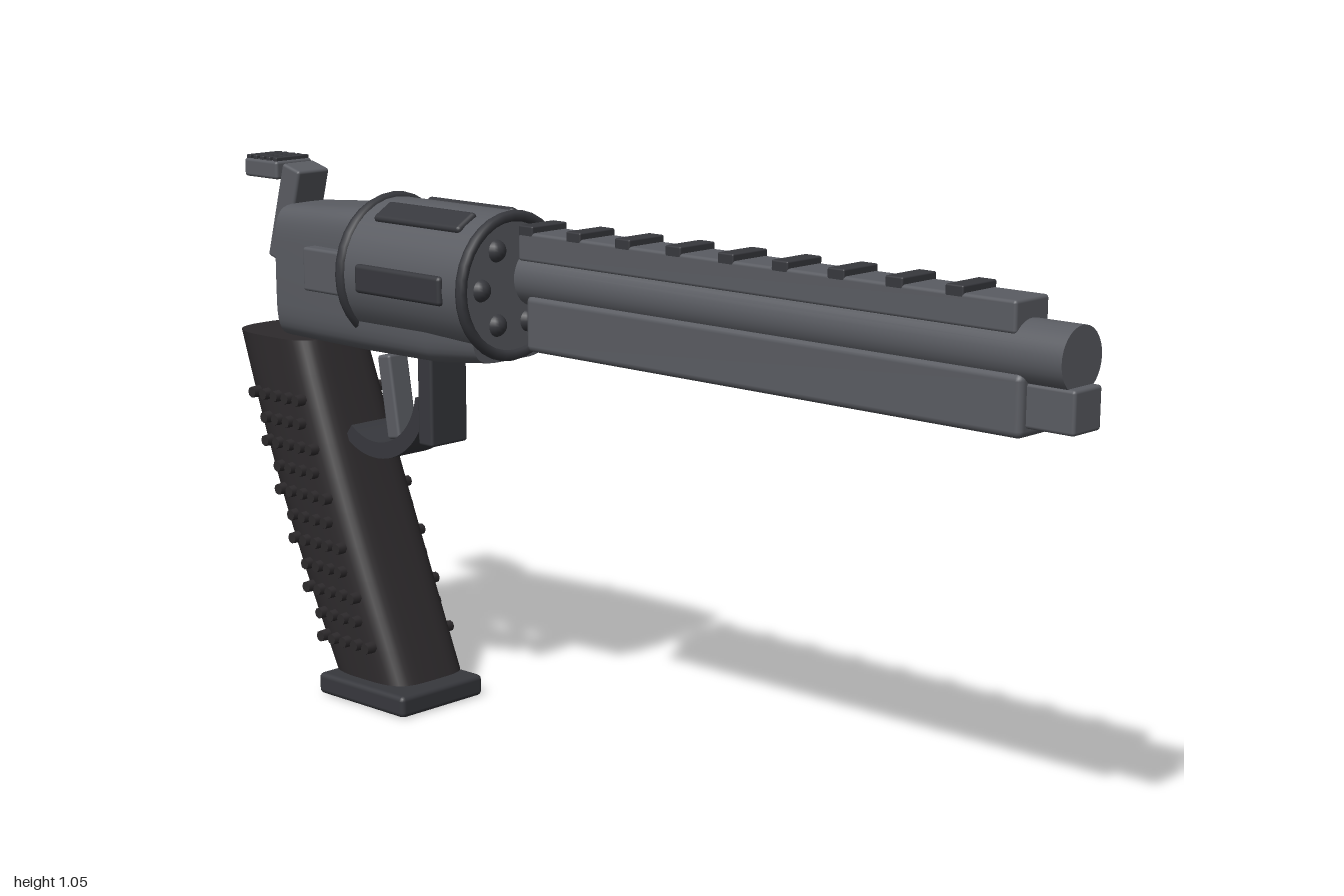
import * as THREE from 'three';
import { RoundedBoxGeometry } from 'three/addons/geometries/RoundedBoxGeometry.js';

const steel = new THREE.MeshStandardMaterial({ color: 0x5a5c62 });
const dark = new THREE.MeshStandardMaterial({ color: 0x37383d });
const rubber = new THREE.MeshStandardMaterial({ color: 0x2d2a2c });

// Closed skin through a list of equal-length rings, with flat end caps
function loft(rings) {
  const n = rings[0].length;
  const pos = [];
  const idx = [];
  rings.flat().forEach((p) => pos.push(p.x, p.y, p.z));
  for (let i = 0; i < rings.length - 1; i++) {
    for (let j = 0; j < n; j++) {
      const a = i * n + j, b = i * n + (j + 1) % n;
      idx.push(a, b, b + n, a, b + n, a + n);
    }
  }
  [rings[0], rings[rings.length - 1]].forEach((ring, end) => {
    const base = pos.length / 3;
    ring.forEach((p) => pos.push(p.x, p.y, p.z));
    for (let j = 1; j < n - 1; j++) {
      if (end) idx.push(base, base + j, base + j + 1);
      else idx.push(base, base + j + 1, base + j);
    }
  });
  const g = new THREE.BufferGeometry();
  g.setAttribute('position', new THREE.Float32BufferAttribute(pos, 3));
  g.setIndex(idx);
  g.computeVertexNormals();
  return g;
}

// Point on a superellipse; higher power is squarer
function superPoint(t, power) {
  const f = (v) => Math.sign(v) * Math.pow(Math.abs(v), 2 / power);
  return [f(Math.cos(t)), f(Math.sin(t))];
}

export function createModel() {
  const model = new THREE.Group();
  const SEG = 40;

  function add(name, geometry, material, x = 0, y = 0, z = 0) {
    const mesh = new THREE.Mesh(geometry, material);
    mesh.name = name;
    mesh.position.set(x, y, z);
    model.add(mesh);
    return mesh;
  }
  // Bevelled box given by its width and its y and z extents
  function block(name, w, y0, y1, z0, z1, material, r = 0.006) {
    return add(name, new RoundedBoxGeometry(w, y1 - y0, z1 - z0, 2, r), material, 0, (y0 + y1) / 2, (z0 + z1) / 2);
  }
  const alongZ = (r, len, seg) => new THREE.CylinderGeometry(r, r, len, seg).rotateX(Math.PI / 2);

  // Barrel, underlug and top rail
  add('barrel', alongZ(0.055, 1.195, 32), steel, 0, 0.887, 0.387);
  block('underlug', 0.106, 0.756, 0.86, -0.185, 0.91, steel, 0.012);
  block('rodTip', 0.075, 0.772, 0.845, 0.88, 1.0, steel);
  block('rail', 0.09, 0.92, 0.974, -0.21, 0.89, steel);
  for (let i = 0; i < 9; i++) {
    const z = -0.19 + i * 0.12;
    block('railTooth', 0.09, 0.965, 0.986, z - 0.018, z + 0.018, dark, 0.003);
  }

  // Drum with rims, raised ribs and chambers
  const drumY = 0.862;
  add('drum', alongZ(0.138, 0.33, 32), steel, 0, drumY, -0.435);
  add('frontRim', new THREE.TorusGeometry(0.13, 0.011, 8, 32), dark, 0, drumY, -0.272);
  add('rearRim', new THREE.TorusGeometry(0.135, 0.012, 8, 32), dark, 0, drumY, -0.595);
  for (let i = 0; i < 6; i++) {
    const a = (i * Math.PI) / 3;
    const c = Math.cos(a), s = Math.sin(a);
    const rib = add('drumRib', new RoundedBoxGeometry(0.03, 0.055, 0.235, 2, 0.008), dark,
      0.13 * c, drumY + 0.13 * s, -0.432);
    rib.rotation.z = a;
    add('chamber', new THREE.SphereGeometry(0.022, 16, 12), dark, 0.08 * c, drumY + 0.08 * s, -0.276);
  }

  // Frame: rounded sections running back to front
  const frameSections = [ // z, bottom, top, half width
    [-0.845, 0.705, 0.967, 0.088], [-0.72, 0.705, 0.976, 0.098], [-0.6, 0.705, 0.984, 0.104],
    [-0.4, 0.708, 0.965, 0.105], [-0.275, 0.722, 0.945, 0.1],
  ];
  add('frame', loft(frameSections.map(([z, lo, hi, w]) =>
    Array.from({ length: SEG }, (_, j) => {
      const [u, v] = superPoint((j / SEG) * Math.PI * 2, 5);
      return new THREE.Vector3(u * w, (lo + hi) / 2 + (v * (hi - lo)) / 2, z);
    }))), steel);
  add('releaseLatch', new RoundedBoxGeometry(0.05, 0.085, 0.12, 2, 0.006), steel, -0.1, 0.86, -0.66);

  // Hammer with a serrated spur
  const hammer = add('hammer', new RoundedBoxGeometry(0.08, 0.195, 0.052, 2, 0.006), steel, 0, 0.943, -0.876);
  hammer.rotation.x = 0.27;
  block('hammerSpur', 0.092, 1.01, 1.046, -0.985, -0.885, steel);
  for (let i = 0; i < 5; i++) {
    const z = -0.976 + i * 0.02;
    block('spurRidge', 0.084, 1.04, 1.053, z - 0.006, z + 0.006, dark, 0.002);
  }

  // Trigger and guard
  const trigger = add('trigger', new RoundedBoxGeometry(0.05, 0.165, 0.036, 2, 0.006), steel, 0, 0.61, -0.593);
  trigger.rotation.x = -0.16;
  block('guardPost', 0.094, 0.535, 0.715, -0.485, -0.445, dark);
  const strip = new THREE.Shape();
  strip.absellipse(-0.61, 0.645, 0.15, 0.155, -0.15, -2.2, true);
  strip.absellipse(-0.61, 0.645, 0.118, 0.123, -2.2, -0.15, false);
  strip.closePath();
  const guard = new THREE.ExtrudeGeometry(strip, { depth: 0.09, bevelEnabled: false, curveSegments: 16 });
  guard.translate(0, 0, -0.045).rotateY(-Math.PI / 2);
  add('triggerGuard', guard, dark);

  // Grip: raked sections from bottom to top, rounder at the back
  const GRIP_LO = 0.053, GRIP_HI = 0.706;
  const gripAt = (y) => {
    const t = (y - GRIP_LO) / (GRIP_HI - GRIP_LO);
    const bow = Math.sin(t * Math.PI);
    return { front: -0.495 - 0.265 * t - 0.006 * bow, back: -0.727 - 0.27 * t - 0.014 * bow, w: 0.098 + 0.004 * bow };
  };
  const gripRings = Array.from({ length: 11 }, (_, i) => {
    const y = GRIP_LO + ((GRIP_HI - GRIP_LO) * i) / 10;
    const { front, back, w } = gripAt(y);
    return Array.from({ length: SEG }, (_, j) => {
      const t = (j / SEG) * Math.PI * 2;
      const [u, v] = superPoint(t, Math.cos(t) < 0 ? 2.8 : 4);
      return new THREE.Vector3(v * w, y, (front + back) / 2 + (u * (front - back)) / 2);
    });
  });
  add('grip', loft(gripRings), rubber);
  block('gripBase', 0.216, 0, 0.043, -0.725, -0.475, dark, 0.01);

  // Staggered studs on both grip sides
  const stud = new THREE.CylinderGeometry(0.011, 0.014, 0.05, 8).rotateZ(-Math.PI / 2);
  for (let row = 0; row < 11; row++) {
    const y = 0.123 + row * 0.0468;
    const { front } = gripAt(y);
    const count = row % 2 ? 4 : 5;
    for (let k = 0; k < count; k++) {
      const z = front - 0.05 - (row % 2 ? 0.016 : 0) - k * 0.033;
      for (const side of [1, -1]) {
        const mesh = add('gripStud', stud, rubber, side * 0.09, y, z);
        if (side < 0) mesh.rotation.y = Math.PI;
      }
    }
  }
  return model;
}
